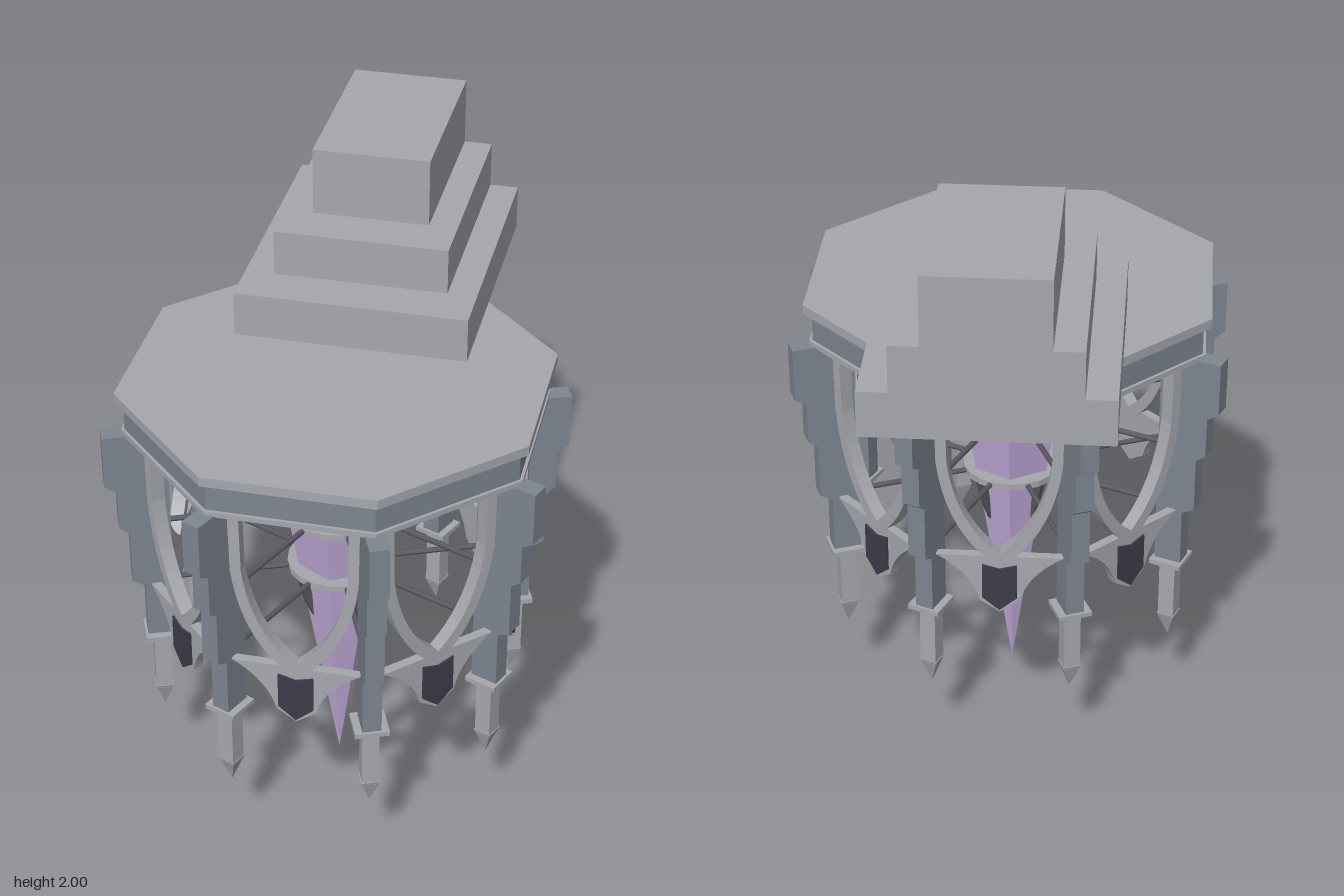
import * as THREE from 'three';

const mat = (name, color) => {
  const m = new THREE.MeshStandardMaterial({ color });
  m.name = name;
  return m;
};

export function createModel() {
  const stone = mat('pale stone', 0xa6a7ad);
  const slate = mat('blue grey slate', 0x7d8590);
  const crystalMat = mat('violet crystal', 0xc0a8d8);
  const dark = mat('dark panel', 0x3c3c4a);
  const iron = mat('iron', 0x57585e);

  const root = new THREE.Group();
  const lantern = new THREE.Group();
  lantern.name = 'lantern';
  lantern.position.z = 0.177;
  root.add(lantern);

  // Adds a faceted mesh to a parent
  const add = (parent, name, geo, material, x = 0, y = 0, z = 0) => {
    const g = geo.index ? geo.toNonIndexed() : geo;
    g.computeVertexNormals();
    const mesh = new THREE.Mesh(g, material);
    mesh.name = name;
    mesh.position.set(x, y, z);
    parent.add(mesh);
    return mesh;
  };
  const extrude = (shape, depth) => new THREE.ExtrudeGeometry(shape, { depth, bevelEnabled: false, curveSegments: 10 });
  const polygon = (pts) => new THREE.Shape(pts.map(([x, y]) => new THREE.Vector2(x, y)));
  // Regular prism given its lower and upper height
  const prism = (rTop, rBottom, y0, y1, sides, turn = 0) =>
    new THREE.CylinderGeometry(rTop, rBottom, y1 - y0, sides).rotateY(turn).translate(0, (y0 + y1) / 2, 0);

  // Stepped block rising at the back
  [[0.37, 1.483, 1.63, 0.022], [0.277, 1.63, 1.78, -0.125], [0.186, 1.78, 2, -0.272]].forEach(([hw, y0, y1, zf], i) => {
    const d = zf + 0.865;
    add(root, 'step' + (i + 1), new THREE.BoxGeometry(hw * 2, y1 - y0, d), stone, 0, (y0 + y1) / 2, zf - d / 2);
  });

  // Octagonal canopy in three layers, sized by apothem
  const c8 = Math.cos(Math.PI / 8);
  const octagon = (name, a, y0, y1, m) => add(lantern, name, prism(a / c8, a / c8, y0, y1, 8, Math.PI / 8), m);
  octagon('canopyTop', 0.635, 1.452, 1.483, stone);
  octagon('canopyBand', 0.61, 1.355, 1.452, slate);
  octagon('canopyTrim', 0.62, 1.338, 1.355, stone);

  // Socket holding the crystal
  add(lantern, 'socket', prism(0.055, 0.055, 1.25, 1.338, 16), slate);
  add(lantern, 'socketPlate', prism(0.07, 0.07, 1.232, 1.25, 16), slate);

  // Six-sided crystal
  add(lantern, 'crystalLower', prism(0.167, 0.001, 0, 0.985, 6), crystalMat);
  add(lantern, 'crystalUpper', prism(0.015, 0.167, 0.985, 1.24, 6), crystalMat);

  // Flat rings around the crystal
  const ring = (name, inner, outer, y) => {
    const s = new THREE.Shape().absarc(0, 0, outer, 0, Math.PI * 2);
    s.holes.push(new THREE.Path().absarc(0, 0, inner, 0, Math.PI * 2, true));
    add(lantern, name, extrude(s, 0.022).rotateX(-Math.PI / 2), stone, 0, y, 0);
  };
  ring('upperRing', 0.135, 0.195, 0.992);
  ring('lowerRing', 0.115, 0.165, 0.77);

  // Prongs below the lower ring
  for (let i = 0; i < 4; i++) {
    const holder = new THREE.Group();
    holder.name = 'prong';
    holder.rotation.y = Math.PI / 4 + i * Math.PI / 2;
    add(holder, 'prongBlade', extrude(polygon([[0.1, 0.6], [0.125, 0.66], [0.155, 0.77], [0.12, 0.77], [0.105, 0.68]]), 0.016), iron, 0, 0, -0.008);
    lantern.add(holder);
  }

  // Column profile: distance from the axis against height
  const columnShape = polygon([
    [0.535, 0.58], [0.625, 0.58], [0.625, 0.775], [0.665, 0.795], [0.665, 0.98], [0.697, 1.005],
    [0.697, 1.14], [0.734, 1.165], [0.734, 1.342], [0.535, 1.342]]);

  // Inverted pointed arch
  const arch = new THREE.Shape();
  arch.moveTo(-0.2, 1.34);
  arch.lineTo(-0.196, 1.12);
  arch.quadraticCurveTo(-0.165, 0.86, 0, 0.74);
  arch.quadraticCurveTo(0.165, 0.86, 0.196, 1.12);
  arch.lineTo(0.2, 1.34);
  arch.lineTo(0.166, 1.34);
  arch.lineTo(0.162, 1.12);
  arch.quadraticCurveTo(0.135, 0.9, 0, 0.79);
  arch.quadraticCurveTo(-0.135, 0.9, -0.162, 1.12);
  arch.lineTo(-0.166, 1.34);

  // Pendant gusset below each arch, notched under the arch point
  const gusset = new THREE.Shape();
  gusset.moveTo(-0.2, 0.782);
  gusset.quadraticCurveTo(-0.09, 0.72, -0.062, 0.615);
  gusset.lineTo(0, 0.573);
  gusset.lineTo(0.062, 0.615);
  gusset.quadraticCurveTo(0.09, 0.72, 0.2, 0.782);
  gusset.lineTo(0.05, 0.782);
  gusset.lineTo(0, 0.745);
  gusset.lineTo(-0.05, 0.782);

  const shield = polygon([[-0.055, 0.752], [-0.055, 0.63], [0, 0.583], [0.055, 0.63], [0.055, 0.752], [0, 0.737]]);

  for (let i = 0; i < 8; i++) {
    // Corner column with hanging finial and spokes
    const corner = new THREE.Group();
    corner.name = 'column';
    corner.rotation.y = Math.PI / 8 + i * Math.PI / 4;
    lantern.add(corner);
    add(corner, 'columnBody', extrude(columnShape, 0.06), slate, 0, 0, -0.03);
    add(corner, 'finialCap', new THREE.BoxGeometry(0.108, 0.016, 0.108), stone, 0.58, 0.573, 0);
    add(corner, 'finialShaft', new THREE.BoxGeometry(0.054, 0.22, 0.054), stone, 0.58, 0.46, 0);
    add(corner, 'finialTip', prism(0.042, 0.001, 0.27, 0.36, 4, Math.PI / 4), stone, 0.58, 0, 0);
    [[0.17, 1.003], [0.15, 0.78]].forEach(([r, y]) =>
      add(corner, 'spoke', new THREE.CylinderGeometry(0.009, 0.009, 0.55 - r, 8).rotateZ(Math.PI / 2), iron, (0.55 + r) / 2, y, 0));

    // Arch, gusset and shield on each side
    const side = new THREE.Group();
    side.name = 'side';
    side.rotation.y = i * Math.PI / 4;
    lantern.add(side);
    add(side, 'arch', extrude(arch, 0.045), stone, 0, 0, 0.53);
    add(side, 'gusset', extrude(gusset, 0.03), stone, 0, 0, 0.543);
    add(side, 'shield', extrude(shield, 0.008), dark, 0, 0, 0.572);
  }
  return root;
}
